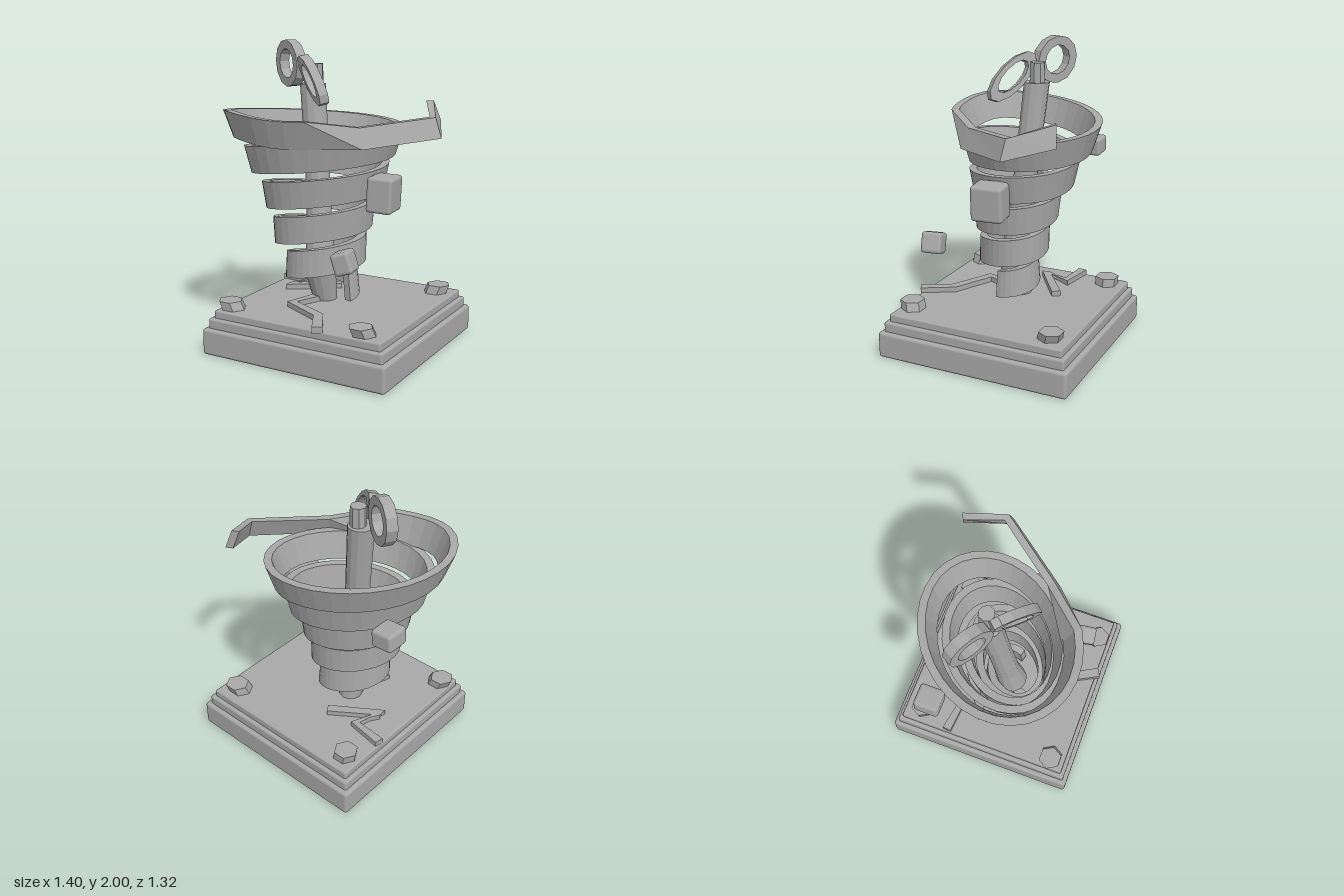
import * as THREE from 'three';
import { RoundedBoxGeometry } from 'three/addons/geometries/RoundedBoxGeometry.js';

const V = (x, y, z) => new THREE.Vector3(x, y, z);
const lerp = THREE.MathUtils.lerp;

// Sweep closed cross-sections (arrays of Vector3) into a capped flat-faced solid
function loft(sections, closed = false) {
  const n = sections[0].length, pos = [], idx = [];
  sections.forEach(s => s.forEach(p => pos.push(p.x, p.y, p.z)));
  const m = sections.length;
  for (let i = 0; i < (closed ? m : m - 1); i++) for (let j = 0; j < n; j++) {
    const a = i * n + j, b = i * n + (j + 1) % n;
    const c = ((i + 1) % m) * n + j, d = ((i + 1) % m) * n + (j + 1) % n;
    idx.push(a, b, d, a, d, c);
  }
  if (!closed) for (let j = 1; j < n - 1; j++) {
    const e = (m - 1) * n;
    idx.push(0, j + 1, j, e, e + j, e + j + 1);
  }
  const g = new THREE.BufferGeometry();
  g.setAttribute('position', new THREE.Float32BufferAttribute(pos, 3));
  g.setIndex(idx);
  const flat = g.toNonIndexed();
  flat.computeVertexNormals();
  return flat;
}

// Ribbon path: widening spiral followed by a kinked straight tail
function ribbonGeometry() {
  const keys = [ // y, centre x, centre z, outer radius
    [0.40, -0.04, 0.06, 0.19], [0.70, -0.07, 0.06, 0.275], [0.93, -0.085, 0.04, 0.325],
    [1.16, -0.10, 0.0, 0.40], [1.38, -0.15, -0.02, 0.51], [1.52, -0.16, 0.0, 0.53],
  ];
  const at = (y, k) => {
    let i = 0;
    while (i < keys.length - 2 && y > keys[i + 1][0]) i++;
    const f = THREE.MathUtils.clamp((y - keys[i][0]) / (keys[i + 1][0] - keys[i][0]), 0, 1);
    return lerp(keys[i][k], keys[i + 1][k], f);
  };
  const pts = [], perTurn = 32, start = -0.05, end = 4.8;
  const steps = Math.round((end - start) * perTurn);
  for (let i = 0; i <= steps; i++) {
    const u = lerp(start, end, i / steps), t = u * Math.PI * 2;
    const y = 0.42 + 0.23 * u, r = at(y, 3) - 0.025;
    const drop = 0.08 * THREE.MathUtils.smoothstep(u, 4.6, 4.8);
    pts.push(V(at(y, 1) + r * Math.cos(t), y - drop, at(y, 2) - 0.96 * r * Math.sin(t + 0.25)));
  }
  pts.push(V(0.28, 1.42, 0.20), V(0.60, 1.46, -0.22), V(0.47, 1.54, -0.48));
  const sections = pts.map((p, i) => {
    const a = pts[Math.max(i - 1, 0)], b = pts[Math.min(i + 1, pts.length - 1)];
    const tan = b.clone().sub(a).setY(0).normalize();
    const out = V(-tan.z, 0, tan.x);
    const f = i / pts.length, tail = i > steps;
    const half = tail ? 0.065 : 0.09;
    const lean = tail ? -0.025 : lerp(-0.01, 0.035, f);
    const corner = (w, h) => p.clone().addScaledVector(out, w * 0.025 + h * lean).add(V(0, h * half, 0));
    return [corner(-1, -1), corner(-1, 1), corner(1, 1), corner(1, -1)];
  });
  return loft(sections);
}

// Flat-sided oval loop spanned by two half axes
function loopGeometry(c, a, b, thickness, inner) {
  const n = a.clone().cross(b).normalize().multiplyScalar(thickness / 2);
  const sections = [], sides = 12;
  for (let i = 0; i < sides; i++) {
    const t = (i / sides) * Math.PI * 2;
    const rim = a.clone().multiplyScalar(Math.cos(t)).addScaledVector(b, Math.sin(t));
    const corner = (s, k) => c.clone().addScaledVector(rim, s).addScaledVector(n, k);
    sections.push([corner(inner, -1), corner(inner, 1), corner(1, 1), corner(1, -1)]);
  }
  return loft(sections, true);
}

// Angular strip lying on the plinth
function crackGeometry(path, width) {
  const sections = path.map(([x, z], i) => {
    const a = path[Math.max(i - 1, 0)], b = path[Math.min(i + 1, path.length - 1)];
    const d = V(b[0] - a[0], 0, b[1] - a[1]).normalize();
    const side = V(-d.z, 0, d.x).multiplyScalar(width / 2);
    const corner = (s, y) => V(x, y, z).addScaledVector(side, s);
    return [corner(-1, 0.28), corner(-1, 0.325), corner(1, 0.325), corner(1, 0.28)];
  });
  return loft(sections);
}

export function createModel() {
  const group = new THREE.Group();
  const stone = new THREE.MeshStandardMaterial({ color: 0xa8a8a8, side: THREE.DoubleSide });
  stone.name = 'grey stone';
  const add = (name, geo) => {
    const mesh = new THREE.Mesh(geo, stone);
    mesh.name = name;
    group.add(mesh);
    return mesh;
  };

  // Stepped plinth
  [['plinthBase', 1.32, 0, 0.175, 0.02], ['plinthMiddle', 1.26, 0.165, 0.24, 0.015],
    ['plinthTop', 1.205, 0.23, 0.29, 0.012]].forEach(([name, w, y0, y1, r]) => {
    add(name, new RoundedBoxGeometry(w, y1 - y0, w, 2, r)).position.set(0.037, (y0 + y1) / 2, 0);
  });

  // Hexagonal bolts, each slightly sheared
  [[-0.46, -0.48, 0.01, 0], [0.52, -0.48, -0.02, 0.02], [-0.49, 0.50, 0.03, 0], [0.48, 0.52, 0.02, -0.02]]
    .forEach(([x, z, sx, sz]) => {
      const g = new THREE.CylinderGeometry(0.08, 0.08, 0.065, 6).rotateY(Math.PI / 6).toNonIndexed();
      g.applyMatrix4(new THREE.Matrix4().set(1, -sx / 0.065, 0, 0, 0, 1, 0, 0, 0, -sz / 0.065, 1, 0, 0, 0, 0, 1));
      g.computeVertexNormals();
      add('bolt', g).position.set(x, 0.3125, z);
    });

  // Cracks on the plinth
  add('frontCrack', crackGeometry([[0.22, 0.62], [0.11, 0.42], [-0.17, 0.28], [-0.1, 0.08]], 0.065));
  add('backCrack', crackGeometry([[-0.1, -0.25], [-0.41, -0.04], [-0.33, -0.23], [-0.56, -0.26]], 0.06));

  // Leaning central post
  const post = [[0.28, -0.08, 0.01, 0.08], [0.5, -0.09, 0.06, 0.105], [0.75, -0.11, 0.03, 0.085],
    [1.2, -0.15, -0.01, 0.08], [1.72, -0.205, -0.05, 0.085]];
  add('post', loft(post.map(([y, x, z, r]) => Array.from({ length: 12 }, (_, i) => {
    const t = (i / 12) * Math.PI * 2;
    return V(x + r * Math.cos(t), y, z + r * Math.sin(t));
  }))));

  // Winding key: hub and two loops
  const hub = add('keyHub', new THREE.CylinderGeometry(0.05, 0.055, 0.2, 8).toNonIndexed());
  hub.geometry.computeVertexNormals();
  hub.position.set(-0.19, 1.75, -0.06);
  add('keyLoopRight', loopGeometry(V(-0.40, 1.845, -0.09), V(0.135, -0.015, 0.08), V(0, 0.155, 0), 0.07, 0.62));
  add('keyLoopLeft', loopGeometry(V(-0.12, 1.755, 0.09), V(0.14, -0.135, 0.09), V(0.03, 0.07, 0.045), 0.06, 0.65));

  // Spiral ribbon
  add('spiralRibbon', ribbonGeometry());

  // Floating rounded blocks
  [[-0.625, 1.235, -0.285, 0.15, 0.12, 0.16, 0, -0.08], [0.355, 1.05, 0.01, 0.17, 0.23, 0.21, 0.1, -0.05],
    [0.315, 0.70, 0.45, 0.12, 0.14, 0.14, 0.15, 0.3]].forEach(([x, y, z, w, h, d, ry, rz]) => {
    const block = add('floatingBlock', new RoundedBoxGeometry(w, h, d, 2, 0.022));
    block.position.set(x, y, z);
    block.rotation.set(0, ry, rz);
  });

  return group;
}
